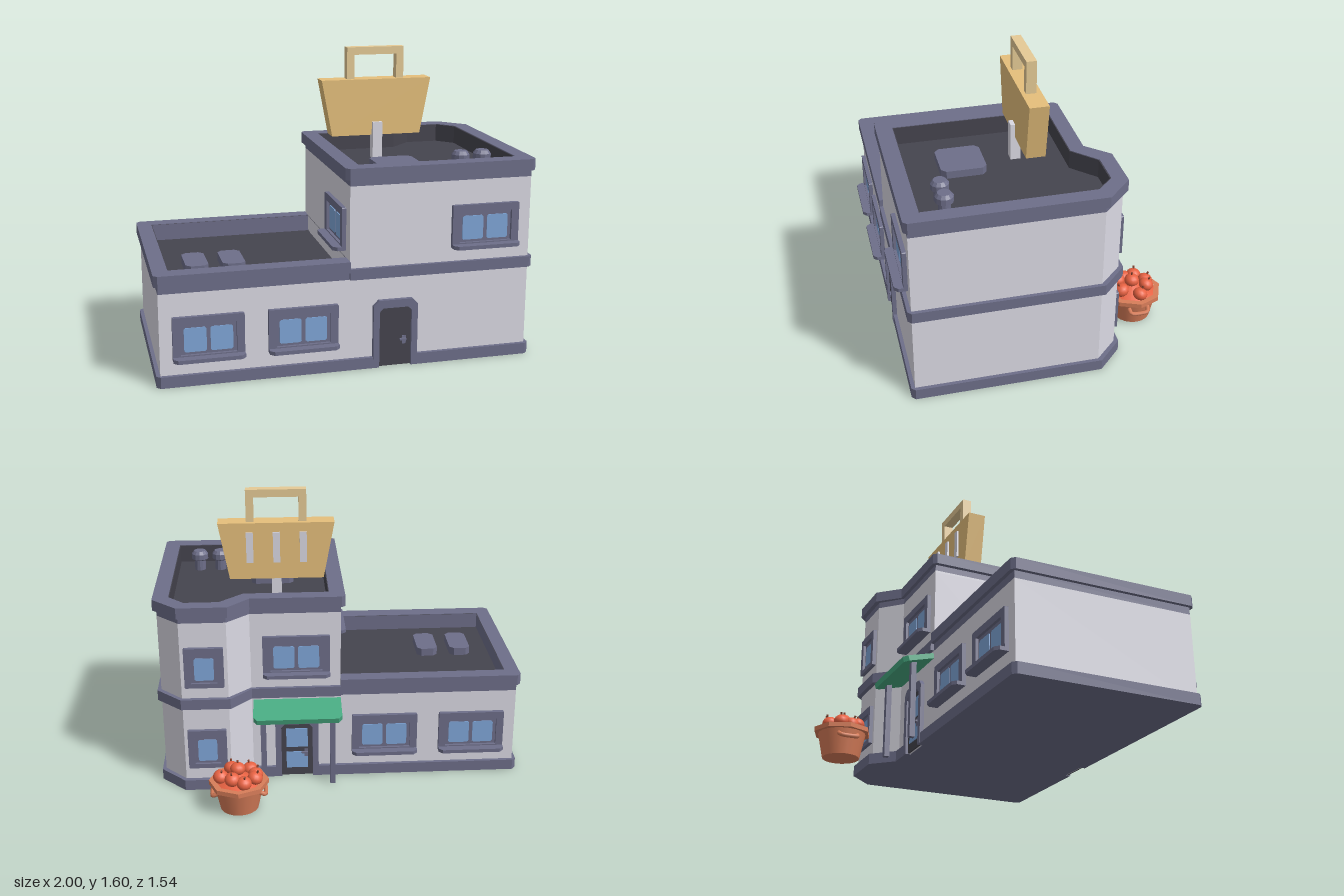
import * as THREE from 'three';

const flat = (name, color) => {
  const m = new THREE.MeshStandardMaterial({ color });
  m.name = name;
  return m;
};

export function createModel() {
  const model = new THREE.Group();
  const wall = flat('pale wall', 0xdad9e3), trim = flat('slate trim', 0x6d6e89);
  const dark = flat('dark roof', 0x45444e), glass = flat('blue glass', 0x7fa6d8);
  const gold = flat('sign gold', 0xe5bf7b), pale = flat('handle straw', 0xe5ca95);
  const green = flat('awning green', 0x48ab82), clay = flat('terracotta', 0xd87d59);
  const red = flat('fruit red', 0xf06645), brown = flat('stem brown', 0x8a4632);

  const add = (name, geo, mat, parent = model, x = 0, y = 0, z = 0) => {
    const m = new THREE.Mesh(geo, mat);
    m.name = name;
    m.position.set(x, y, z);
    parent.add(m);
    return m;
  };
  const box = (name, mat, [x0, x1], [y0, y1], [z0, z1], parent = model) =>
    add(name, new THREE.BoxGeometry(x1 - x0, y1 - y0, z1 - z0), mat, parent, (x0 + x1) / 2, (y0 + y1) / 2, (z0 + z1) / 2);
  // Upright plate from an xy outline, with optional hole
  const plate = (pts, depth, hole) => {
    const s = new THREE.Shape(pts.map(p => new THREE.Vector2(...p)));
    if (hole) s.holes.push(new THREE.Path(hole.map(p => new THREE.Vector2(...p))));
    return new THREE.ExtrudeGeometry(s, { depth, bevelEnabled: false });
  };
  // Horizontal slab from an xz outline
  const slab = (name, mat, pts, y0, y1, hole, parent = model) => {
    const flip = a => a && a.map(([x, z]) => [x, -z]);
    return add(name, plate(flip(pts), y1 - y0, flip(hole)).rotateX(-Math.PI / 2), mat, parent, 0, y0, 0);
  };
  const rect = (x0, x1, y0, y1) => [[x0, y0], [x1, y0], [x1, y1], [x0, y1]];
  const cut = (x0, x1, y0, y1, c) => [[x0 + c, y0], [x1 - c, y0], [x1, y0 + c], [x1, y1 - c],
    [x1 - c, y1], [x0 + c, y1], [x0, y1 - c], [x0, y0 + c]];
  const inset = (pts, cx, cz, k) => pts.map(([x, z]) => [cx + (x - cx) * k, cz + (z - cz) * k]);

  // Footprints
  const bayWall = [[0.98, -0.28], [0.86, -0.405], [0.61, -0.405], [0.49, -0.29]];
  const bayTrim = [[1, -0.295], [0.866, -0.43], [0.6, -0.43], [0.487, -0.31]];
  const frontRight = [[0.98, 0.72], [1, 0.7]];
  const towerWall = [[0, 0.7], [0.98, 0.7], ...bayWall, [0, -0.29]];
  const towerHole = [[0.06, 0.63], [0.915, 0.63], [0.915, -0.26], [0.83, -0.35], [0.645, -0.35], [0.52, -0.23], [0.06, -0.23]];
  const notch = [0.158, 0.332];
  const base = [[-1, 0.7], [-0.98, 0.72], [notch[0], 0.72], [notch[0], 0.69], [notch[1], 0.69], [notch[1], 0.72],
    ...frontRight, ...bayTrim, [notch[1], -0.31], [notch[1], -0.28], [notch[0], -0.28], [notch[0], -0.31],
    [-0.98, -0.31], [-1, -0.29]];

  // Base and lower block
  slab('baseTrim', trim, base, 0, 0.06);
  const leftWall = rect(-0.98, 0, -0.29, 0.7), leftHole = rect(-0.92, 0, -0.23, 0.63);
  slab('lowerWalls', wall, leftWall, 0.003, 0.49);
  slab('lowerRoof', dark, rect(-0.97, 0, -0.28, 0.69), 0.488, 0.495);
  const uRing = (x, z0, z1, c) => [[x + c, z1], [0, z1], [0, 0.63], [-0.92, 0.63], [-0.92, -0.23], [0, -0.23], [0, z0], [x + c, z0], [x, z0 + c], [x, z1 - c]];
  slab('lowerBand', trim, uRing(-0.98, -0.29, 0.7, 0.001), 0.49, 0.53);
  slab('lowerParapet', trim, uRing(-1, -0.31, 0.72, 0.02), 0.53, 0.59);
  slab('lowerParapetLining', dark, leftHole, 0.495, 0.587, rect(-0.916, -0.003, -0.226, 0.626));

  // Tower
  slab('towerWalls', wall, towerWall, 0.003, 0.97);
  slab('middleTrim', trim, [[0, 0.72], ...frontRight, ...bayTrim, [0, -0.31]], 0.492, 0.55);
  slab('towerRoof', dark, inset(towerWall, 0.48, 0.2, 0.99), 0.965, 0.974);
  slab('towerWallTop', wall, towerWall, 0.97, 0.982, towerHole);
  slab('towerBand', trim, towerWall, 0.982, 1.017, towerHole);
  slab('towerParapet', trim, [[-0.025, 0.7], [-0.005, 0.72], ...frontRight, ...bayTrim, [-0.005, -0.31], [-0.025, -0.29]], 1.017, 1.077, towerHole);
  slab('towerParapetLining', dark, towerHole, 0.972, 1.074, inset(towerHole, 0.48, 0.2, 0.99));

  // Roof hatches and vents
  slab('roofHatch', trim, cut(-0.805, -0.685, 0.2, 0.44, 0.025), 0.495, 0.54);
  slab('roofHatch', trim, cut(-0.61, -0.49, 0.2, 0.44, 0.025), 0.495, 0.54);
  slab('roofHatch', trim, cut(0.24, 0.48, 0.2, 0.44, 0.025), 0.97, 1.015);
  const ventProfile = [[0.032, 0], [0.032, 0.06], [0.048, 0.07], [0.048, 0.1], [0.034, 0.118], [0, 0.118]].map(p => new THREE.Vector2(...p));
  for (const x of [0.667, 0.788]) {
    const vent = new THREE.LatheGeometry(ventProfile, 12).toNonIndexed();
    vent.computeVertexNormals();
    add('roofVent', vent, trim, model, x, 0.972, 0.485);
  }

  // Windows: local origin is bottom centre on the wall, facing +z
  const addWindow = (x, y, z, turn, w = 0.365, panes = 2, sill = true) => {
    const g = new THREE.Group();
    g.name = 'window';
    g.position.set(x, y, z);
    g.rotation.y = turn;
    model.add(g);
    const h = w / 2, b = panes > 1 ? 0.04 : 0.035, top = 0.228;
    add('windowFrame', plate(cut(-h, h, 0, top, 0.004), 0.022, rect(-h + b, h - b, 0.026, top - 0.04)), trim, g);
    box('windowSash', trim, [-h + b, h - b], [0.02, top - 0.035], [-0.002, 0.006], g);
    const span = 2 * (h - b - 0.018), pw = (span - (panes - 1) * 0.02) / panes;
    for (let i = 0; i < panes; i++) {
      const x0 = -span / 2 + i * (pw + 0.02);
      add('windowPane', plate(cut(x0, x0 + pw, 0.039, 0.167, 0.008), 0.005), glass, g, 0, 0, 0.005);
    }
    if (sill) slab('windowSill', trim, [[-h, 0], [h, 0], [h, 0.047], [h - 0.022, 0.068], [-h + 0.022, 0.068], [-h, 0.047]], 0, 0.02, null, g);
  };
  for (const x of [-0.733, -0.245]) {
    addWindow(x, 0.14, 0.7, 0);
    addWindow(x, 0.14, -0.29, Math.PI);
  }
  addWindow(0.728, 0.625, 0.7, 0);
  addWindow(0.242, 0.625, -0.29, Math.PI);
  addWindow(0, 0.625, 0.445, -Math.PI / 2);
  for (const y of [0.133, 0.617]) addWindow(0.735, y, -0.405, Math.PI, 0.21, 1, false);

  // Doors
  const addDoor = (z, turn, glazed) => {
    const g = new THREE.Group();
    g.name = glazed ? 'backDoor' : 'frontDoor';
    g.position.set(0.245, 0, z);
    g.rotation.y = turn;
    model.add(g);
    const arch = (w, h, c) => [[w, 0.003], [w, h - c], [w - c, h], [-w + c, h], [-w, h - c], [-w, 0.003]];
    const inner = arch(0.087, 0.327, 0.02);
    add('doorFrame', plate([...arch(0.12, 0.37, 0.03), ...inner.slice().reverse()], 0.023), trim, g);
    add('doorLeaf', plate(inner, 0.008), dark, g);
    if (glazed) {
      for (const [y0, y1] of [[0.05, 0.15], [0.18, 0.295]])
        box('doorPane', glass, [-0.06, 0.06], [y0, y1], [0.006, 0.012], g);
    }
    box('doorPlate', trim, [0.04, 0.06], [0.12, 0.165], [0.006, 0.013], g);
    box('doorHandle', trim, [0.025, 0.06], [0.142, 0.152], [0.012, 0.025], g);
  };
  addDoor(0.7, 0, false);
  addDoor(-0.29, Math.PI, true);

  // Awning and posts
  const awning = slab('awning', green, [[0, 0], [0.482, 0], [0.482, -0.15], [0.462, -0.176], [0.02, -0.176], [0, -0.15]], 0, 0.03);
  awning.position.set(0, 0.448, -0.285);
  awning.rotation.x = -0.26;
  for (const x of [0.05, 0.43]) box('awningPost', trim, [x - 0.015, x + 0.015], [0, 0.428], [-0.405, -0.375]);

  // Basket sign
  add('signPanel', plate([[0.08, 1.105], [0.592, 1.105], [0.65, 1.42], [0.02, 1.42]], 0.103), gold, model, 0, 0, -0.077);
  add('signHandle', plate([[0.17, 1.42], [0.212, 1.42], [0.212, 1.555], [0.455, 1.555], [0.455, 1.42],
    [0.497, 1.42], [0.497, 1.597], [0.17, 1.597]], 0.054), pale, model, 0, 0, -0.05);
  for (const x of [0.19, 0.335, 0.48]) box('signSlat', wall, [x - 0.019, x + 0.019], [1.2, 1.37], [-0.088, -0.076]);
  box('signPost', wall, [0.31, 0.365], [0.97, 1.18], [-0.003, 0.05]);

  // Fruit basket
  const basket = new THREE.Group();
  basket.name = 'fruitBasket';
  basket.position.set(0.565, 0, -0.608);
  model.add(basket);
  add('basketBody', new THREE.CylinderGeometry(0.135, 0.103, 0.15, 20), clay, basket, 0, 0.075, 0);
  const oct = r => Array.from({ length: 8 }, (_, i) => [r * Math.cos(i * Math.PI / 4), r * Math.sin(i * Math.PI / 4)]);
  slab('basketRim', clay, oct(0.16), 0.138, 0.163, oct(0.128), basket);
  add('fruitHeap', new THREE.ConeGeometry(0.128, 0.06, 16), red, basket, 0, 0.18, 0);
  for (const s of [-1, 1]) {
    const grip = new THREE.CatmullRomCurve3([[0.112, 0.11, -0.053], [0.138, 0.094, -0.047], [0.143, 0.09, 0],
      [0.138, 0.094, 0.047], [0.112, 0.11, 0.053]].map(([x, y, z]) => new THREE.Vector3(s * x, y, z)));
    add('basketHandle', new THREE.TubeGeometry(grip, 12, 0.012, 6), clay, basket);
  }
  const fruit = [[-0.088, 0.188, -0.035], [0.032, 0.2, -0.068], [0.095, 0.188, -0.012], [0.004, 0.222, 0.008],
    [-0.06, 0.188, 0.068], [0.04, 0.19, 0.078], [-0.03, 0.185, -0.085], [-0.09, 0.178, 0.025]];
  fruit.forEach(([x, y, z], i) => {
    const f = new THREE.Group();
    f.name = 'fruit';
    f.position.set(x, y, z);
    f.rotation.set(z * 4, i, -x * 4);
    basket.add(f);
    add('fruitBody', new THREE.SphereGeometry(0.041, 14, 10).scale(1, 0.85, 1), red, f);
    add('fruitStem', new THREE.CylinderGeometry(0.006, 0.004, 0.022, 6), brown, f, 0, 0.038, 0);
  });
  return model;
}
